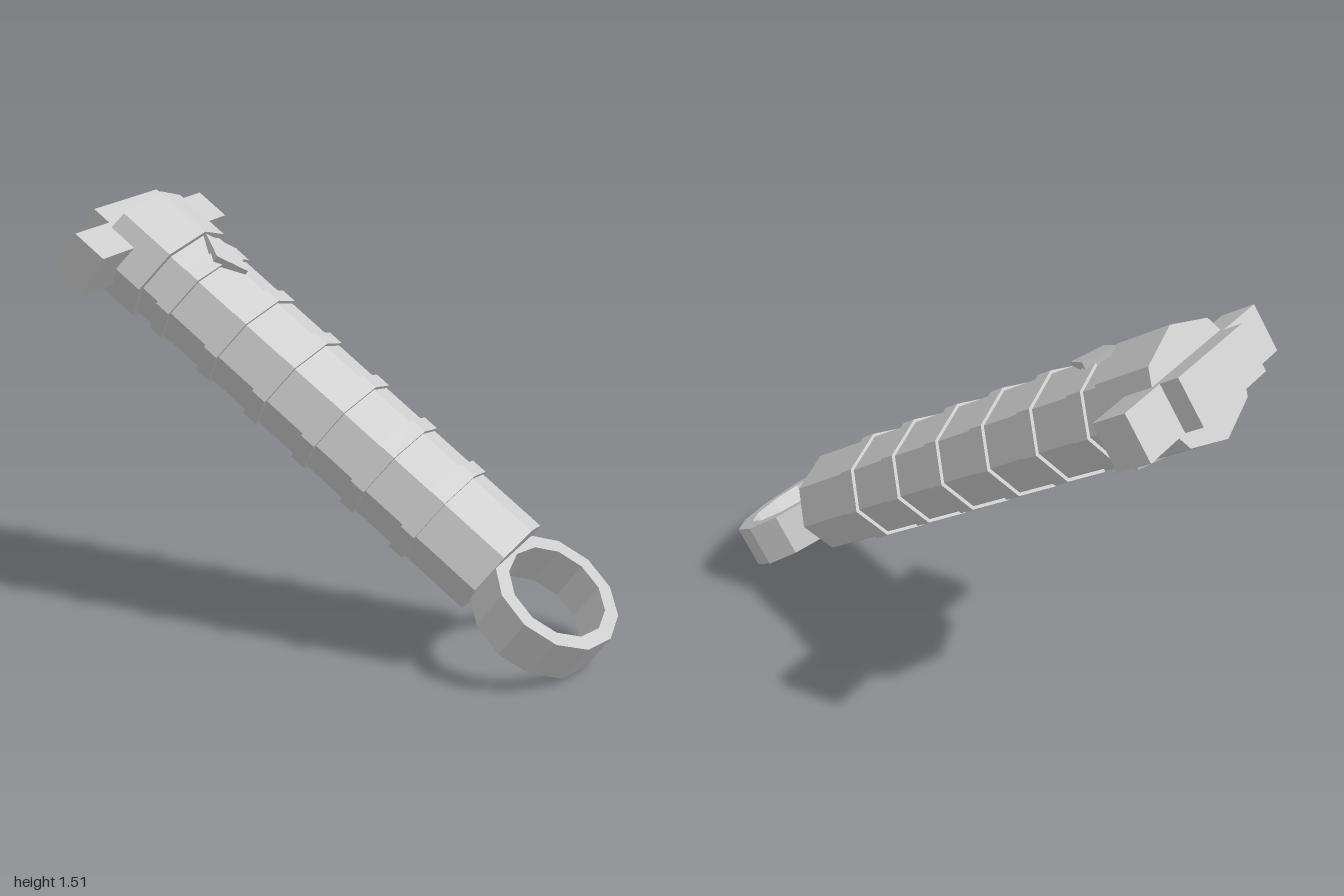
import * as THREE from 'three';

const material = new THREE.MeshStandardMaterial({ color: 0xcccccc, flatShading: true });

function addMesh(parent, name, geometry) {
  const mesh = new THREE.Mesh(geometry, material);
  mesh.name = name;
  parent.add(mesh);
  return mesh;
}

// Flattened octagonal prism along x, from x0 to x1
function octagon(x0, x1, ry, rz) {
  return new THREE.CylinderGeometry(1, 1, x1 - x0, 8)
    .rotateZ(Math.PI / 2)
    .scale(1, ry, rz)
    .translate((x0 + x1) / 2, 0, 0);
}

function box(x0, x1, height, depth) {
  return new THREE.BoxGeometry(x1 - x0, height, depth).translate((x0 + x1) / 2, 0, 0);
}

// Points of a 12-sided oval
function oval(rx, ry) {
  return Array.from({ length: 12 }, (_, i) => {
    const a = (i * Math.PI) / 6;
    return new THREE.Vector2(rx * Math.cos(a), ry * Math.sin(a));
  });
}

export function createModel() {
  const root = new THREE.Group();
  root.name = 'hilt';

  // Everything is laid out along x, then tilted; x = 0 is the lower end of the grip
  const hilt = new THREE.Group();
  hilt.name = 'tiltedHilt';
  hilt.position.set(0.595, 0.32, 0);
  hilt.rotation.z = THREE.MathUtils.degToRad(-35);
  root.add(hilt);

  addMesh(hilt, 'grip', octagon(-1.7, 0, 0.183, 0.235));

  // Raised bands around the grip
  for (let i = 0; i < 6; i++) {
    const x = -1.459 + i * 0.232;
    addMesh(hilt, 'gripBand', octagon(x - 0.03, x + 0.03, 0.195, 0.251));
  }

  // Head with its cross guard
  addMesh(hilt, 'head', octagon(-1.79, -1.565, 0.204, 0.262));
  addMesh(hilt, 'crossGuard', box(-1.813, -1.678, 0.172, 0.815));
  addMesh(hilt, 'guardBlock', box(-1.887, -1.7, 0.172, 0.405));

  // Diamond stud passing through the first band
  const stud = new THREE.CylinderGeometry(1, 1, 0.4, 4)
    .scale(0.103, 1, 0.068)
    .translate(-1.456, 0, 0);
  addMesh(hilt, 'diamondStud', stud);

  // Flat ring at the lower end
  const shape = new THREE.Shape(oval(0.24, 0.308));
  shape.holes.push(new THREE.Path(oval(0.187, 0.24)));
  const ring = new THREE.ExtrudeGeometry(shape, { depth: 0.154, bevelEnabled: false })
    .translate(0, 0, -0.077)
    .rotateX(Math.PI / 2)
    .translate(0.2, 0, 0);
  addMesh(hilt, 'pommelRing', ring);

  return root;
}
